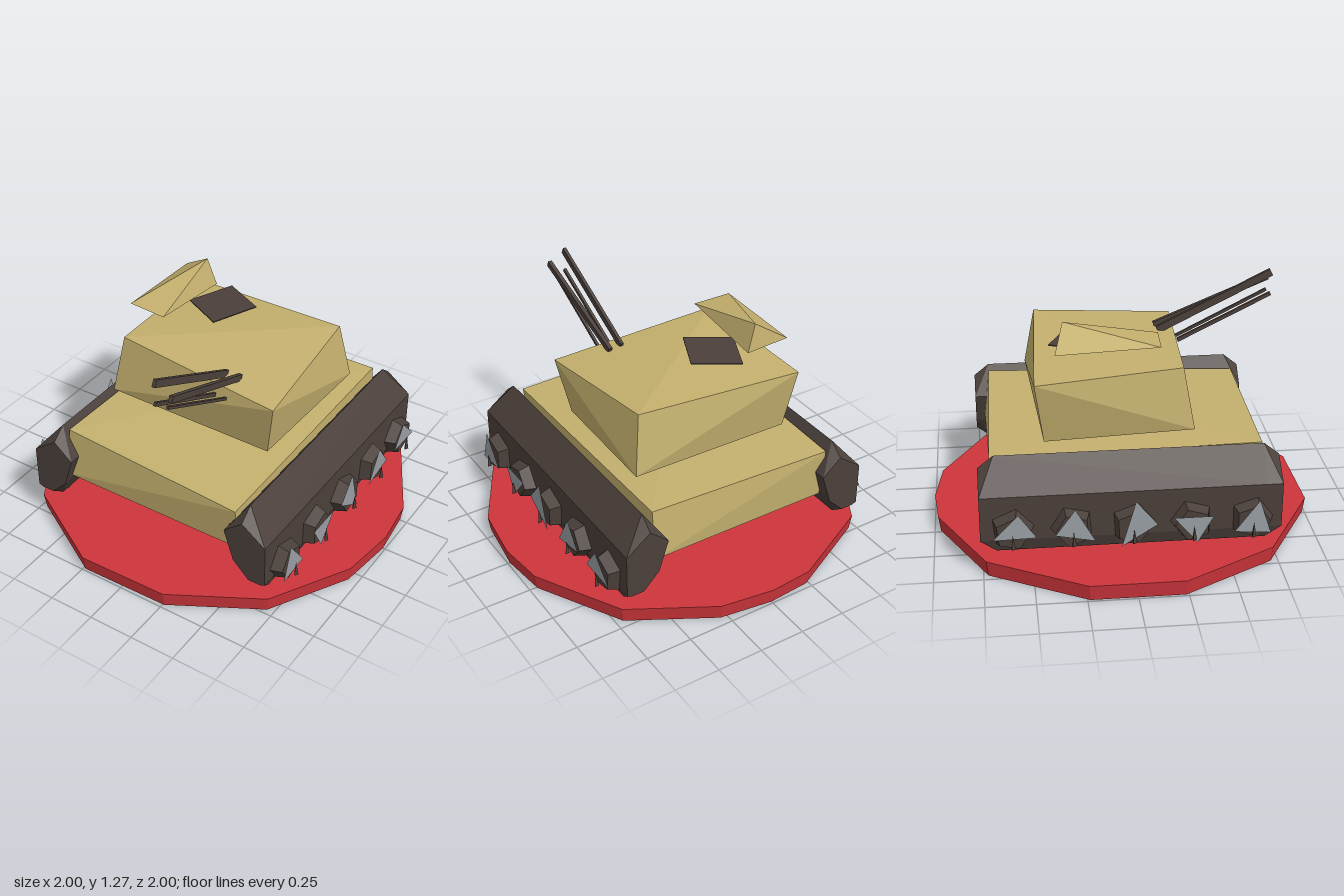
import * as THREE from 'three';
import { ConvexGeometry } from 'three/addons/geometries/ConvexGeometry.js';

const mat = (name, color, extra = {}) => {
  const m = new THREE.MeshStandardMaterial({ color, flatShading: true, ...extra });
  m.name = name;
  return m;
};

export function createModel() {
  const model = new THREE.Group();
  model.name = 'toyTank';
  const red = mat('baseRed', 0xcd353b);
  const tan = mat('armourTan', 0xc4b06e);
  const dark = mat('trackBrown', 0x4b403b);
  const grey = mat('hubGrey', 0x9a9fa4, { side: THREE.DoubleSide });

  const add = (name, geometry, material, parent = model) => {
    const mesh = new THREE.Mesh(geometry, material);
    mesh.name = name;
    parent.add(mesh);
    return mesh;
  };
  // Faceted solid spanned by its corner points
  const solid = (name, corners, material, parent) =>
    add(name, new ConvexGeometry(corners.map(c => new THREE.Vector3(...c))), material, parent);

  // Irregular round base, slightly narrower underneath
  const rim = [[-0.24, -0.98], [0, -1], [0.29, -0.96], [0.72, -0.715], [0.97, -0.26], [1, 0], [0.96, 0.31],
    [0.72, 0.73], [0.26, 0.99], [-0.24, 1], [-0.73, 0.72], [-1, 0.24], [-1, -0.24], [-0.72, -0.735]];
  solid('base', rim.flatMap(([x, z]) => [[x, 0.085, z], [x * 0.988, 0, z * 0.988]]), red);

  // Hull and turret: slightly skewed blocks
  solid('hull', [
    [-0.54, 0.59, 0.68], [0.51, 0.545, 0.71], [0.52, 0.59, -0.68], [-0.53, 0.565, -0.7],
    [-0.54, 0.315, 0.71], [0.5, 0.285, 0.68], [0.52, 0.315, -0.71], [-0.52, 0.285, -0.68],
  ], tan);
  solid('turret', [
    [-0.455, 0.98, 0.285], [0.49, 0.92, 0.34], [0.435, 0.98, -0.42], [-0.505, 0.935, -0.465],
    [-0.5, 0.66, 0.34], [0.43, 0.605, 0.285], [0.485, 0.66, -0.475], [-0.45, 0.605, -0.42],
  ], tan);

  // Raised hatch cover and dark hatch plate
  solid('hatchCover', [
    [-0.495, 1.11, 0.165], [-0.28, 1.105, 0.175], [-0.5, 1.09, -0.36], [-0.28, 1.05, -0.325], [-0.33, 1.2, -0.31],
  ], tan);
  const plate = [[-0.215, 1.035, -0.375], [0.02, 1.048, -0.25], [-0.09, 1.046, -0.005], [-0.325, 1.035, -0.13]];
  solid('hatchPlate', plate.flatMap(([x, y, z]) => [[x, y, z], [x, y - 0.006, z]]), dark);

  // Thin raised gun barrels
  const barrel = (from, to, width, depth) => {
    const a = new THREE.Vector3(...from), b = new THREE.Vector3(...to);
    const mesh = add('gunBarrel', new THREE.BoxGeometry(width, depth, a.distanceTo(b)), dark);
    mesh.position.copy(a).lerp(b, 0.5);
    mesh.lookAt(b);
  };
  barrel([0.145, 0.95, 0.23], [0.145, 1.255, 0.84], 0.018, 0.04);
  barrel([0.145, 0.885, 0.34], [0.145, 1.135, 0.84], 0.015, 0.02);
  barrel([0.22, 0.95, 0.22], [0.237, 1.2, 0.84], 0.022, 0.035);
  barrel([0.21, 0.885, 0.34], [0.21, 1.135, 0.83], 0.015, 0.015);

  // Track cross-section (x outward, y)
  const section = [[0.58, 0.605], [0.715, 0.44], [0.715, 0.2], [0.69, 0.13], [0.62, 0.13], [0.53, 0.28], [0.475, 0.45]];
  // Hub triangles as (z, y) corners
  const hubs = [
    [[0.63, 0.39], [0.505, 0.22], [0.69, 0.205]],
    [[0.4, 0.315], [0.2, 0.315], [0.32, 0.17]],
    [[0.01, 0.42], [0.12, 0.285], [-0.06, 0.17]],
    [[-0.29, 0.39], [-0.19, 0.21], [-0.39, 0.25]],
    [[-0.57, 0.375], [-0.48, 0.245], [-0.7, 0.24]],
  ];
  for (const side of [1, -1]) {
    const running = new THREE.Group();
    running.name = side > 0 ? 'leftRunningGear' : 'rightRunningGear';
    model.add(running);

    solid('track', section.flatMap(([x, y]) => [-1, 1].flatMap(end => [
      [side * x, y, end * 0.68],
      [side * x, THREE.MathUtils.clamp(y, 0.19, 0.54), end * 0.76],
    ])), dark, running);

    hubs.forEach((tri, i) => {
      // Faceted road wheel
      const wheel = add('roadWheel', new THREE.CylinderGeometry(0.09, 0.145, 0.16, 5), dark, running);
      wheel.rotation.set(i * 0.6, 0, -side * Math.PI / 2, 'XYZ');
      wheel.position.set(side * 0.695, 0.265, 0.6 - i * 0.3);

      // Triangular hub plate
      const hub = new THREE.BufferGeometry();
      hub.setAttribute('position', new THREE.Float32BufferAttribute(
        tri.flatMap(([z, y]) => [side * 0.785, y, z]), 3));
      hub.computeVertexNormals();
      add('hubPlate', hub, grey, running);

      // Small bolt below each hub
      const bolt = add('hubBolt', new THREE.ConeGeometry(0.014, 0.08, 3), dark, running);
      bolt.position.set(side * 0.8, 0.235, 0.6 - i * 0.3);
    });
  }
  return model;
}
